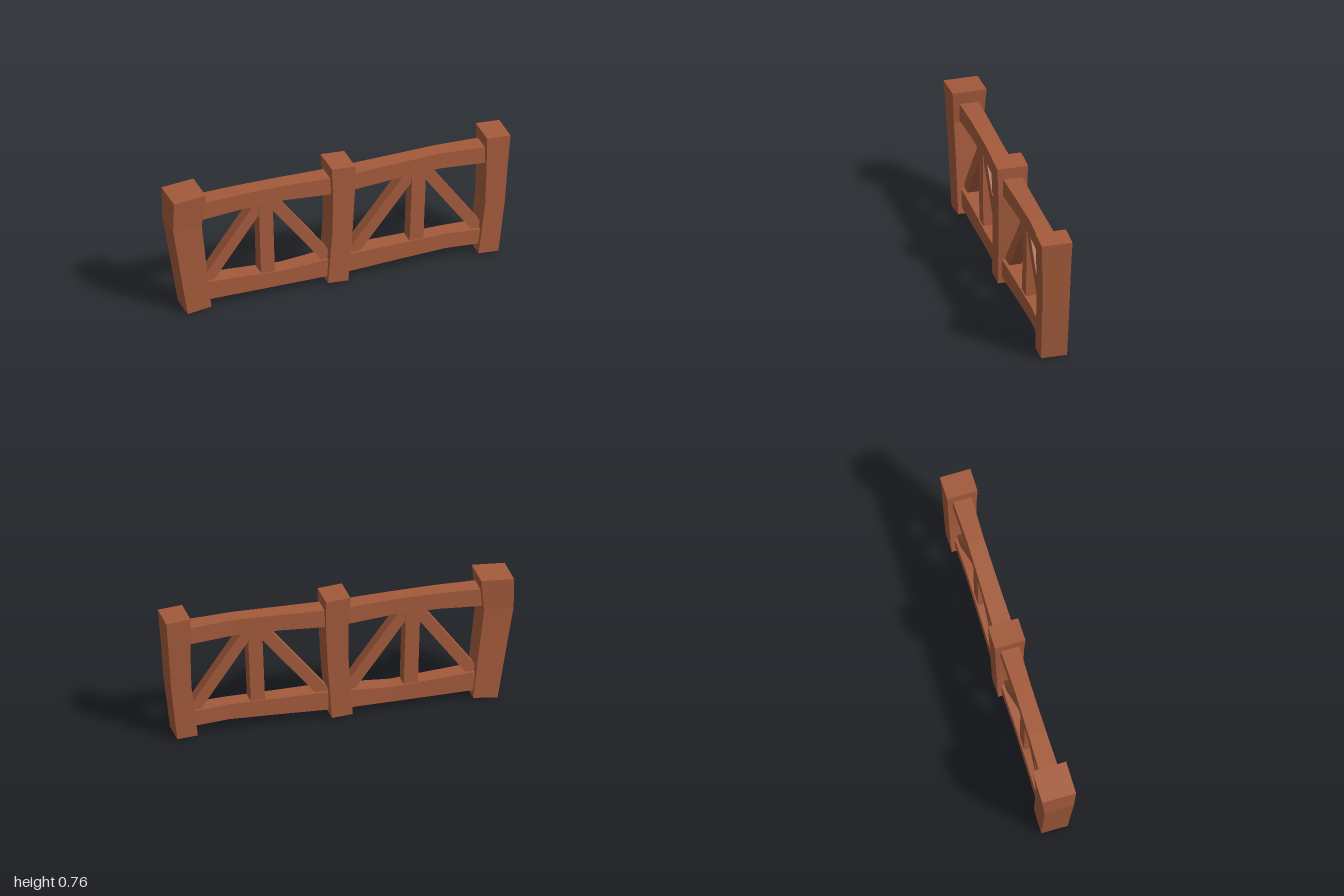
import * as THREE from 'three';

// Lofts a four-sided timber through sections [ax, ay, bx, by, halfDepth]
function timber(name, sections, material, capStart = true) {
  const rings = sections.map(([ax, ay, bx, by, h]) => [
    [ax, ay, h], [bx, by, h], [bx, by, -h], [ax, ay, -h],
  ]);
  const pos = [];
  const quad = (a, b, c, d) => [a, b, c, a, c, d].forEach((p) => pos.push(...p));
  for (let s = 0; s < rings.length - 1; s++) {
    for (let i = 0; i < 4; i++) {
      const j = (i + 1) % 4;
      quad(rings[s][i], rings[s][j], rings[s + 1][j], rings[s + 1][i]);
    }
  }
  quad(...rings[rings.length - 1]);
  if (capStart) quad(...[...rings[0]].reverse());
  const geometry = new THREE.BufferGeometry();
  geometry.setAttribute('position', new THREE.Float32BufferAttribute(pos, 3));
  geometry.computeVertexNormals();
  const mesh = new THREE.Mesh(geometry, material);
  mesh.name = name;
  return mesh;
}

// Straight brace between two points
function brace(name, x0, y0, x1, y1, width, halfDepth, material) {
  const len = Math.hypot(x1 - x0, y1 - y0);
  const nx = (-(y1 - y0) / len) * width / 2;
  const ny = ((x1 - x0) / len) * width / 2;
  const end = (x, y) => [x + nx, y + ny, x - nx, y - ny, halfDepth];
  return timber(name, [end(x0, y0), end(x1, y1)], material);
}

export function createModel() {
  const group = new THREE.Group();
  group.name = 'fence';
  const wood = new THREE.MeshStandardMaterial({ color: 0xa35a3b, flatShading: true, side: THREE.DoubleSide });
  wood.name = 'reddish brown wood';

  // Posts: bent, flaring upwards, open underneath
  const posts = {
    rightPost: [
      [-0.91, 0, -0.77, 0.018, 0.077], [-0.963, 0.33, -0.805, 0.34, 0.08],
      [-1, 0.56, -0.83, 0.56, 0.085], [-1, 0.745, -0.81, 0.76, 0.098],
    ],
    middlePost: [
      [-0.077, 0.018, 0.043, 0.01, 0.075], [-0.053, 0.34, 0.067, 0.33, 0.078],
      [-0.05, 0.56, 0.078, 0.56, 0.082], [-0.06, 0.76, 0.08, 0.75, 0.088],
    ],
    leftPost: [
      [0.815, 0.016, 0.933, 0.008, 0.075], [0.853, 0.33, 0.97, 0.33, 0.078],
      [0.86, 0.56, 0.985, 0.56, 0.082], [0.86, 0.76, 1, 0.75, 0.088],
    ],
  };
  for (const [name, s] of Object.entries(posts)) group.add(timber(name, s, wood, false));

  // Rails: [x, top, bottom, halfDepth]
  const rails = {
    rightTopRail: [[-0.835, 0.684, 0.578, 0.055], [-0.58, 0.692, 0.594, 0.05], [-0.32, 0.691, 0.596, 0.048], [-0.03, 0.681, 0.576, 0.054]],
    rightBottomRail: [[-0.81, 0.168, 0.055, 0.055], [-0.53, 0.153, 0.05, 0.05], [-0.32, 0.14, 0.048, 0.048], [-0.03, 0.16, 0.05, 0.054]],
    leftTopRail: [[0.06, 0.682, 0.577, 0.055], [0.33, 0.69, 0.593, 0.05], [0.6, 0.697, 0.6, 0.047], [0.88, 0.684, 0.582, 0.054]],
    leftBottomRail: [[0.057, 0.165, 0.055, 0.055], [0.33, 0.166, 0.065, 0.05], [0.63, 0.168, 0.075, 0.047], [0.86, 0.156, 0.064, 0.054]],
  };
  for (const [name, s] of Object.entries(rails)) {
    group.add(timber(name, s.map(([x, t, b, h]) => [x, t, x, b, h]), wood));
  }

  // Struts and diagonal braces of both bays
  const braces = [
    ['rightStrut', -0.42, 0.12, -0.435, 0.63, 0.082, 0.041],
    ['rightOuterBrace', -0.785, 0.155, -0.455, 0.605, 0.066, 0.035],
    ['rightInnerBrace', -0.065, 0.16, -0.4, 0.605, 0.066, 0.035],
    ['leftStrut', 0.458, 0.12, 0.477, 0.63, 0.082, 0.041],
    ['leftInnerBrace', 0.075, 0.15, 0.445, 0.61, 0.068, 0.035],
    ['leftOuterBrace', 0.835, 0.145, 0.51, 0.605, 0.066, 0.035],
  ];
  for (const b of braces) group.add(brace(...b, wood));

  return group;
}
